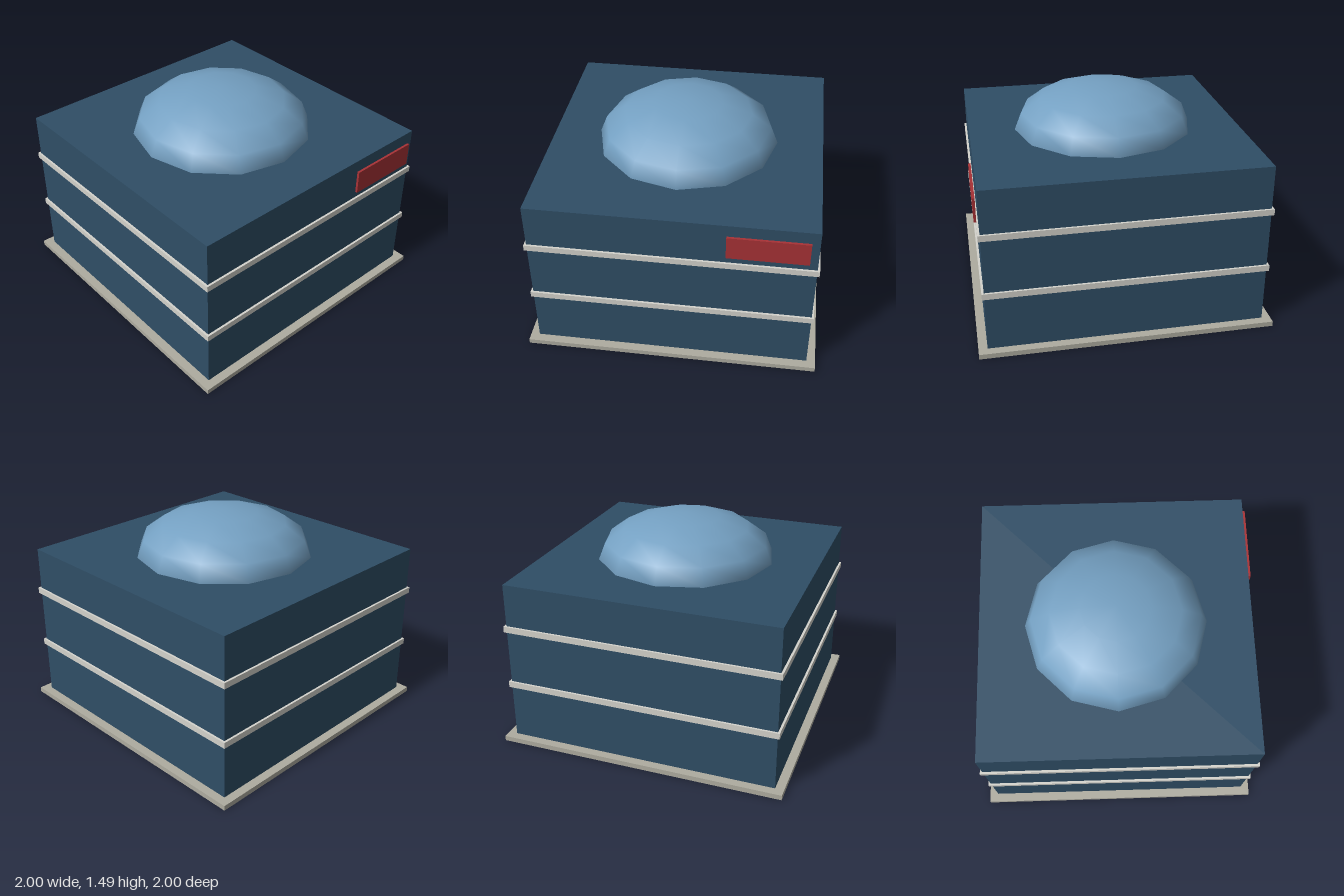
import * as THREE from 'three';

const material = (name, color) => {
  const m = new THREE.MeshStandardMaterial({ color });
  m.name = name;
  return m;
};

export function createModel() {
  const model = new THREE.Group();
  model.name = 'domedBuilding';

  const navy = material('navy wall', 0x2f4e66);
  const pale = material('pale trim', 0xd4d3cc);
  const stone = material('stone base', 0xaeaca0);
  const red = material('red sign', 0xa83236);
  const glass = material('blue dome', 0x74a0c2);

  const addBox = (name, mat, w, d, y0, y1, x = 0, z = 0) => {
    const mesh = new THREE.Mesh(new THREE.BoxGeometry(w, y1 - y0, d), mat);
    mesh.name = name;
    mesh.position.set(x, (y0 + y1) / 2, z);
    model.add(mesh);
  };

  // Ground slab and main block
  addBox('baseSlab', stone, 2, 2, 0, 0.035);
  addBox('mainBlock', navy, 1.88, 1.88, 0.035, 1.18);

  // Ledges that mark the floors
  [0.44, 0.86].forEach((y, i) => {
    addBox(`floorBand${i + 1}`, pale, 1.91, 1.91, y - 0.021, y + 0.021);
  });

  // Sign at the upper corner of the front
  addBox('frontSign', red, 0.525, 0.016, 0.942, 1.107, 0.624, 0.961);

  // Flattened hemisphere on the roof
  const dome = new THREE.Mesh(
    new THREE.SphereGeometry(0.625, 12, 4, 0, Math.PI * 2, 0, Math.PI / 2), glass);
  dome.name = 'roofDome';
  dome.scale.y = 0.5;
  dome.position.y = 1.178;
  model.add(dome);

  return model;
}
